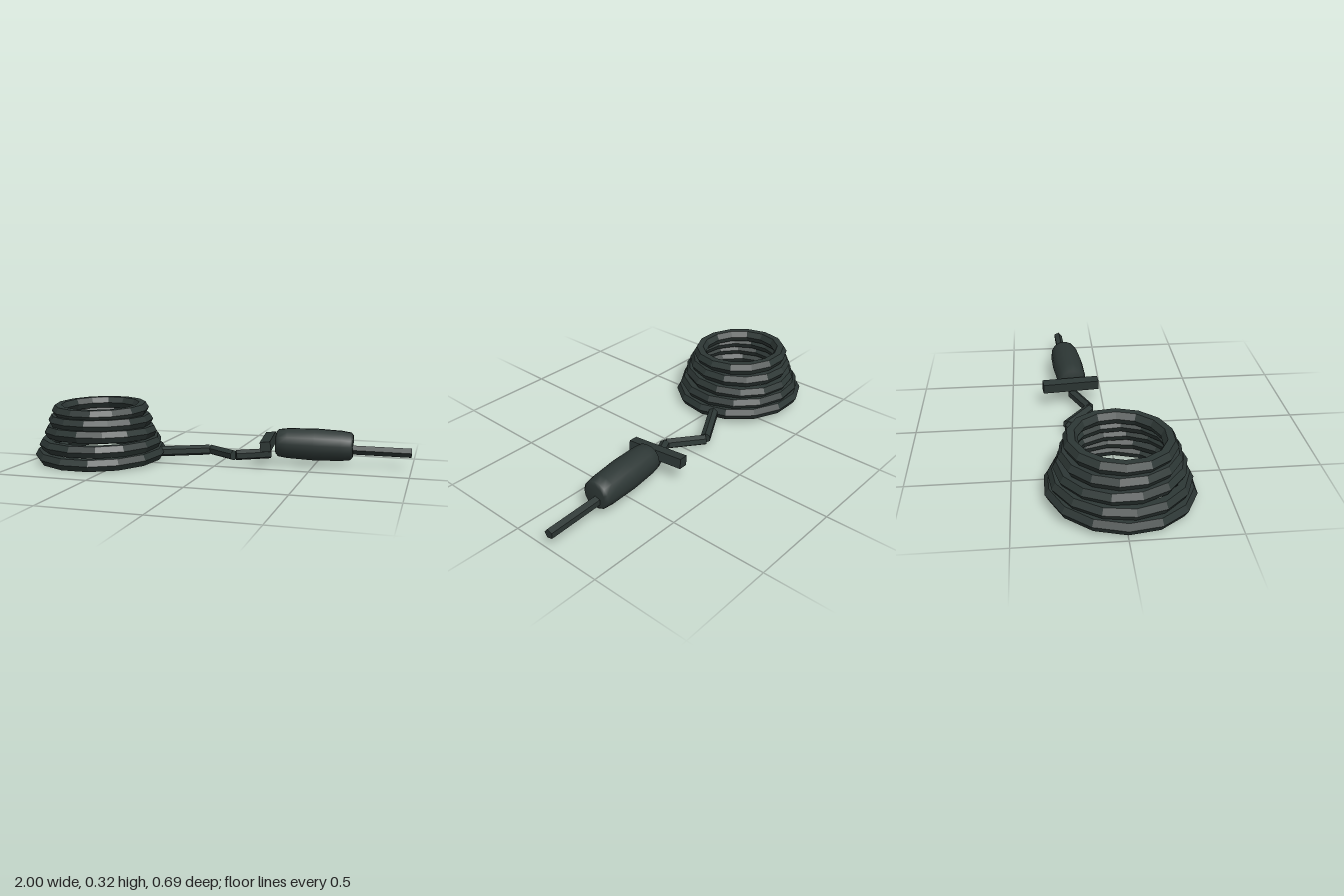
import * as THREE from 'three';

export function createModel() {
  const model = new THREE.Group();
  const leather = new THREE.MeshStandardMaterial({ color: 0x2d3735 });
  leather.name = 'dark leather';
  const facetedLeather = leather.clone();
  facetedLeather.flatShading = true;

  function add(name, geometry, material = facetedLeather) {
    const mesh = new THREE.Mesh(geometry, material);
    mesh.name = name;
    model.add(mesh);
    return mesh;
  }

  // Places a geometry whose length runs along y between two points
  function span(name, a, b, makeGeometry, material) {
    const from = new THREE.Vector3(...a), to = new THREE.Vector3(...b);
    const mesh = add(name, makeGeometry(from.distanceTo(to)), material);
    mesh.position.copy(from).add(to).multiplyScalar(0.5);
    mesh.quaternion.setFromUnitVectors(new THREE.Vector3(0, 1, 0), to.sub(from).normalize());
    return mesh;
  }

  // Stacked coil loops: outer radius, height at the front, height at the back
  const loops = [
    [0.355, 0.032, 0.065],
    [0.333, 0.097, 0.113],
    [0.307, 0.170, 0.160],
    [0.284, 0.224, 0.227],
    [0.262, 0.272, 0.292],
  ];
  const cord = 0.035;
  loops.forEach(([outer, front, back], i) => {
    const geometry = new THREE.TorusGeometry(outer - cord, cord, 6, 14);
    geometry.rotateX(Math.PI / 2);
    geometry.rotateY(i * 0.11);
    const loop = add('coilLoop' + (i + 1), geometry);
    loop.position.set(-0.645, (front + back) / 2, 0);
    loop.rotation.x = Math.atan2(back - front, 2 * (outer - cord));
  });

  // Zigzag of cord from the coil to the handle
  const thong = (length) => new THREE.CylinderGeometry(0.028, 0.028, length, 6);
  span('cordSegment1', [-0.33, 0.05, -0.07], [-0.09, 0.048, -0.205], thong);
  span('cordSegment2', [-0.08, 0.048, -0.213], [0.085, 0.048, -0.087], thong);
  span('cordSegment3', [0.095, 0.05, -0.087], [0.265, 0.055, -0.167], thong);

  // Crosspiece in front of the grip
  span('crosspiece', [0.269, 0.114, -0.025], [0.233, 0.118, -0.328],
    (length) => new THREE.BoxGeometry(0.054, length, 0.052));

  // Rounded grip
  span('grip', [0.298, 0.116, -0.164], [0.7, 0.11, -0.195], (length) => {
    const h = length / 2;
    const profile = [[0, -h], [0.06, -h], [0.073, -h + 0.012], [0.08, -h + 0.06],
      [0.085, 0], [0.08, h - 0.06], [0.073, h - 0.012], [0.06, h], [0, h]];
    return new THREE.LatheGeometry(profile.map(([x, y]) => new THREE.Vector2(x, y)), 14);
  }, leather);

  // Thin tail rod behind the grip
  span('tailRod', [0.69, 0.09, -0.205], [0.998, 0.087, -0.218],
    (length) => new THREE.CylinderGeometry(0.025, 0.025, length, 5));

  return model;
}
